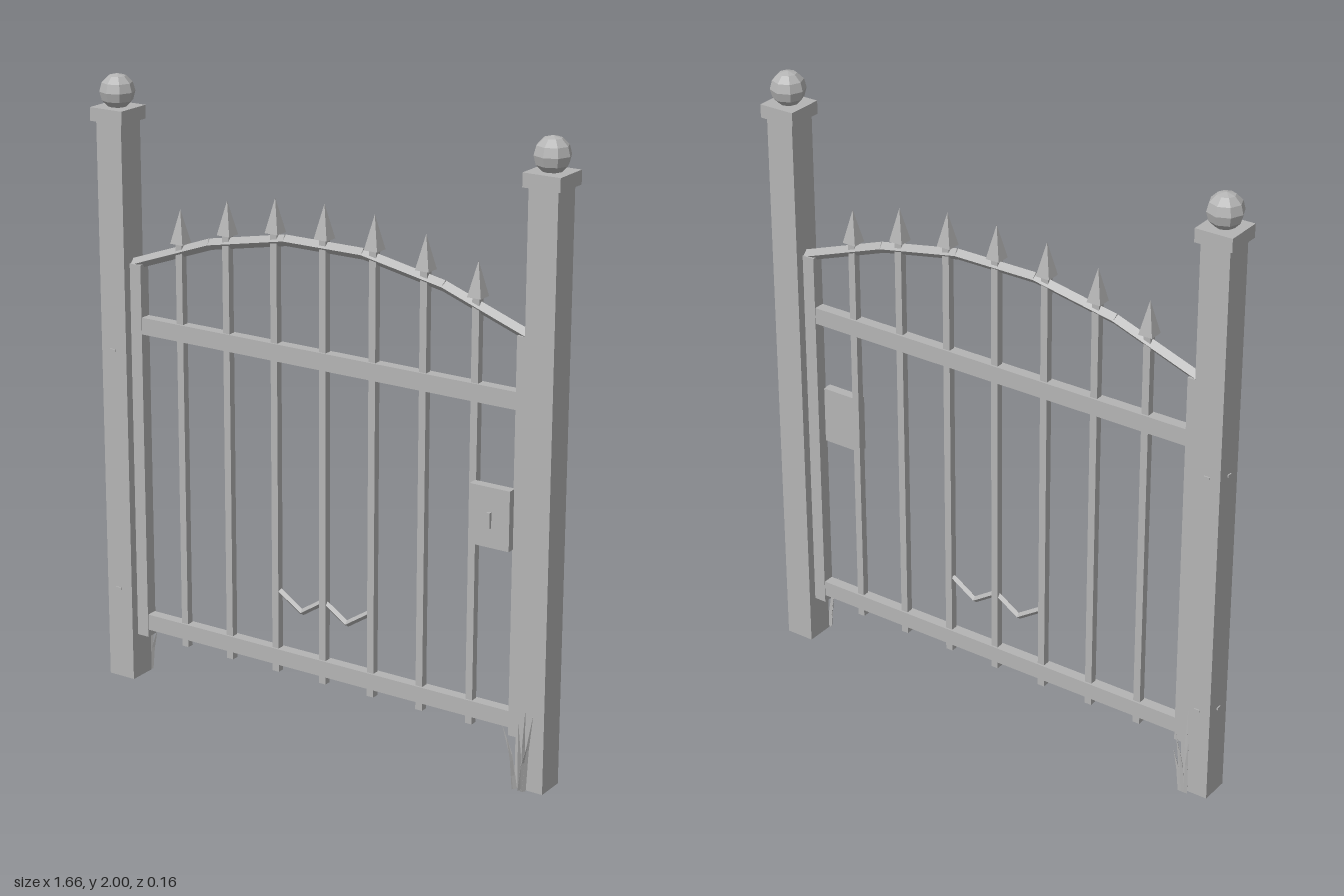
import * as THREE from 'three';

const iron = new THREE.MeshStandardMaterial({ color: 0xb4b4b4 });
iron.name = 'grey iron';
iron.flatShading = true;

export function createModel() {
  const gate = new THREE.Group();
  gate.name = 'gate';

  const add = (name, geometry, x, y, z, parent = gate) => {
    const mesh = new THREE.Mesh(geometry, iron);
    mesh.name = name;
    mesh.position.set(x, y, z);
    parent.add(mesh);
    return mesh;
  };
  // Box given by its limits in x and y, its depth and its centre in z
  const slab = (name, x0, x1, y0, y1, depth, z = 0, parent = gate) =>
    add(name, new THREE.BoxGeometry(x1 - x0, y1 - y0, depth), (x0 + x1) / 2, (y0 + y1) / 2, z, parent);

  // Tapered rod between two points
  const rod = (name, a, b, r0, r1, sides, parent = gate) => {
    const from = new THREE.Vector3(...a), to = new THREE.Vector3(...b);
    const dir = to.clone().sub(from);
    const mesh = add(name, new THREE.CylinderGeometry(r1, r0, dir.length(), sides), 0, 0, 0, parent);
    mesh.position.copy(from).add(to).multiplyScalar(0.5);
    mesh.quaternion.setFromUnitVectors(new THREE.Vector3(0, 1, 0), dir.normalize());
    return mesh;
  };
  // Chain of diamond-section rods through points in the gate plane
  const chain = (name, points, r) => {
    for (let i = 1; i < points.length; i++) {
      rod(name, [...points[i - 1], 0], [...points[i], 0], r, r, 4);
    }
  };

  // Posts with caps and ball finials, and the upright gate stiles beside them
  for (const side of [-1, 1]) {
    const post = new THREE.Group();
    post.name = side < 0 ? 'rightPost' : 'leftPost';
    post.position.x = side * 0.768;
    gate.add(post);
    slab('postShaft', -0.048, 0.048, 0, 1.856, 0.096, 0, post);
    slab('postCap', -0.061, 0.061, 1.854, 1.897, 0.122, 0, post);
    add('ballFinial', new THREE.SphereGeometry(0.056, 8, 6), 0, 1.944, 0, post);
    slab('stile', side * 0.699 - 0.021, side * 0.699 + 0.021, 0.15, 1.405, 0.04);
  }

  // Hinge pins just proud of the hinge post
  for (const y of [0.31, 1.12]) {
    slab('hingePin', -0.782, -0.762, y - 0.004, y + 0.004, 0.104);
    slab('hingePin', -0.82, -0.77, y - 0.004, y + 0.004, 0.016);
  }

  // Rails
  slab('lowerRail', -0.7, 0.7, 0.175, 0.228, 0.036);
  slab('upperRail', -0.7, 0.7, 1.18, 1.235, 0.036);

  // Bars and pyramid spikes
  const tips = [1.695, 1.688, 1.655, 1.602];
  for (let i = -3; i <= 3; i++) {
    const x = i * 0.178, tip = tips[Math.abs(i)];
    slab('bar', x - 0.012, x + 0.012, 0.148, tip - 0.1, 0.024);
    const spike = new THREE.ConeGeometry(0.033, 0.108, 4);
    spike.rotateY(Math.PI / 4);
    add('spike', spike, x, tip - 0.054, 0);
  }

  // Arched top and small zigzag brace
  chain('topArch', [[-0.72, 1.4], [-0.42, 1.508], [-0.14, 1.562],
    [0.14, 1.562], [0.42, 1.508], [0.72, 1.4]], 0.018);
  chain('zigzag', [[-0.168, 0.422], [-0.084, 0.367], [0, 0.422], [0.084, 0.367], [0.168, 0.422]], 0.01);

  // Lock plate and its handle
  slab('lockPlate', 0.543, 0.68, 0.748, 0.937, 0.032, 0.028);
  slab('lockHandle', 0.607, 0.619, 0.81, 0.86, 0.014, 0.047);

  // Grass tufts: in front of one post and behind the other
  const tuft = (name, x, z, blades) => {
    const group = new THREE.Group();
    group.name = name;
    group.position.set(x, 0, z);
    gate.add(group);
    for (const [base, lean, height, out] of blades) {
      const mid = [base + lean * 0.35, height * 0.55, out * 0.4];
      rod('grassBlade', [base, 0, 0], mid, 0.008, 0.006, 3, group);
      rod('grassBlade', mid, [base + lean, height, out], 0.006, 0.0005, 3, group);
    }
  };
  tuft('frontGrass', 0.74, 0.056, [[-0.015, -0.04, 0.2, 0.01], [-0.02, -0.012, 0.17, 0.022],
    [0, 0.0, 0.22, 0.012], [0.01, 0.02, 0.27, 0.025], [0.015, 0.03, 0.25, 0.005], [0, 0.035, 0.16, 0.016]]);
  tuft('backGrass', -0.738, -0.056, [[-0.01, -0.015, 0.2, -0.022], [-0.005, 0.0, 0.3, 0.004],
    [0.005, 0.02, 0.21, -0.012], [0.01, 0.025, 0.14, -0.005], [0, 0.01, 0.17, -0.016]]);

  return gate;
}
